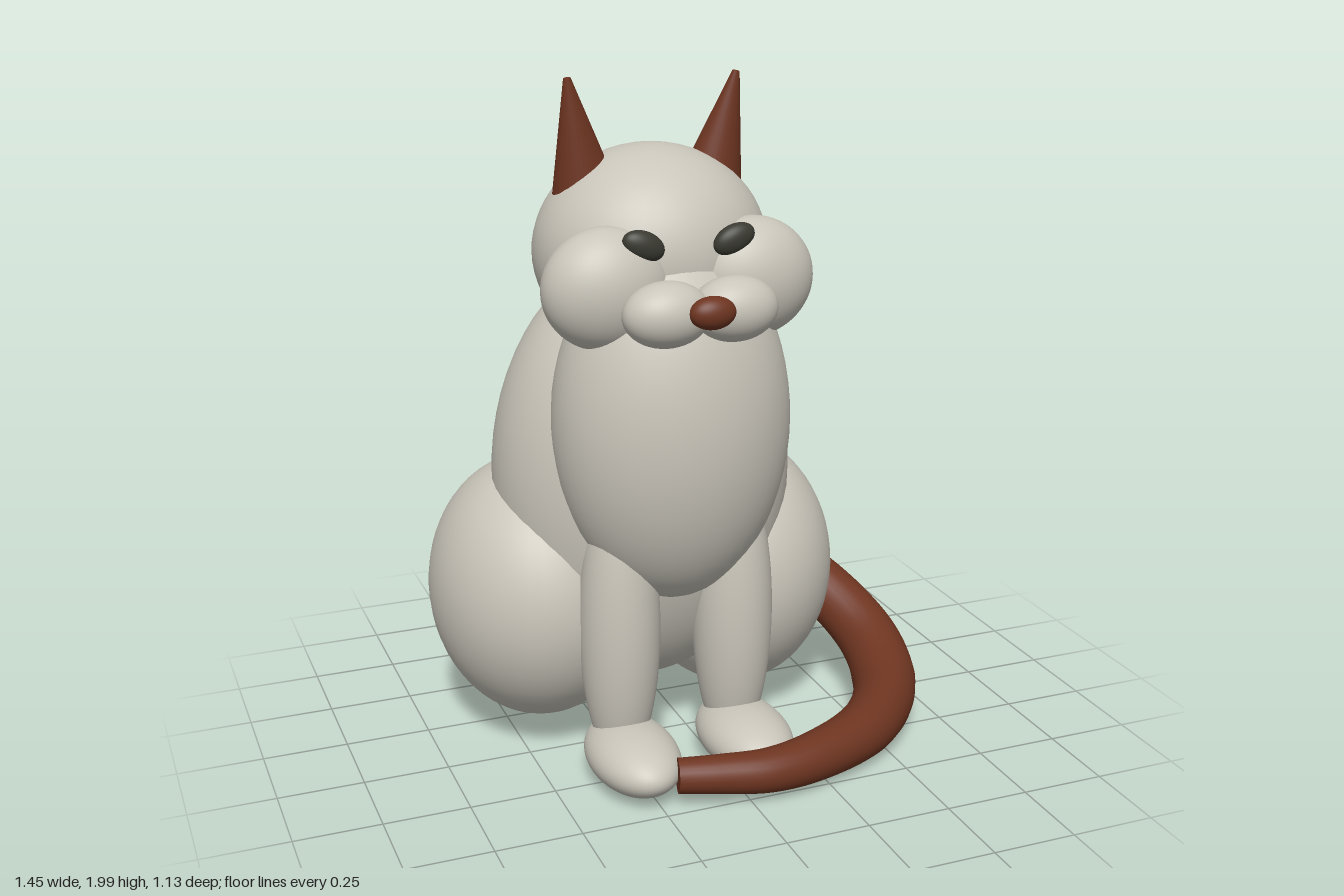
import * as THREE from 'three';

const MID = -0.1; // x of the cat's own centre line; the tail curls out to +x

export function createModel() {
  const cat = new THREE.Group();
  cat.name = 'sittingCat';
  const material = (name, color) => Object.assign(new THREE.MeshStandardMaterial({ color }), { name });
  const fur = material('paleFur', 0xc9c5ba);
  const brown = material('brownPoints', 0x6e3521);
  const dark = material('darkEyes', 0x3a3a32);

  // Ellipsoid; x is measured from the centre line
  function blob(name, mat, [x, y, z], radii, tilt = 0) {
    const mesh = new THREE.Mesh(new THREE.SphereGeometry(1, 48, 32), mat);
    mesh.name = name;
    mesh.position.set(MID + x, y, z);
    mesh.scale.set(...radii);
    mesh.rotation.z = tilt;
    cat.add(mesh);
    return mesh;
  }

  // Single parts
  blob('body', fur, [0, 0.83, -0.11], [0.45, 0.65, 0.37]);
  blob('chest', fur, [0, 1.05, 0.14], [0.345, 0.53, 0.29]);
  blob('head', fur, [0, 1.51, -0.022], [0.337, 0.3, 0.31]);
  blob('nose', brown, [0, 1.43, 0.445], [0.065, 0.045, 0.04]);

  // Mirrored parts
  for (const [side, s] of [['left', 1], ['right', -1]]) {
    blob(side + 'Haunch', fur, [s * 0.31, 0.47, -0.195], [0.32, 0.4, 0.375]);
    blob(side + 'FrontLeg', fur, [s * 0.175, 0.46, 0.18], [0.117, 0.44, 0.12]);
    blob(side + 'Paw', fur, [s * 0.175, 0.1, 0.28], [0.13, 0.09, 0.21]);
    blob(side + 'Cheek', fur, [s * 0.21, 1.46, 0.205], [0.182, 0.17, 0.13]);
    blob(side + 'Muzzle', fur, [s * 0.097, 1.415, 0.362], [0.123, 0.09, 0.088]);
    blob(side + 'Eye', dark, [s * 0.13, 1.585, 0.278], [0.062, 0.04, 0.03], s * 0.4);

    // Ear: blunt cone leaning outward from base to tip
    const base = new THREE.Vector3(MID + s * 0.182, 1.65, -0.04);
    const tip = new THREE.Vector3(MID + s * 0.247, 2.0, 0.008);
    const axis = tip.clone().sub(base);
    const ear = new THREE.Mesh(new THREE.CylinderGeometry(0.009, 0.088, axis.length(), 32), brown);
    ear.name = side + 'Ear';
    ear.position.copy(base).add(tip).multiplyScalar(0.5);
    ear.quaternion.setFromUnitVectors(new THREE.Vector3(0, 1, 0), axis.normalize());
    ear.scale.x = 1.15;
    cat.add(ear);
  }

  // Tail: tapered tube sweeping round the left haunch to the front
  const path = new THREE.CatmullRomCurve3([
    [0.4, 0.37, -0.31], [0.5, 0.345, -0.275], [0.582, 0.275, -0.17], [0.627, 0.19, 0], [0.58, 0.125, 0.2],
    [0.44, 0.1, 0.365], [0.22, 0.093, 0.471], [0.06, 0.093, 0.5], [-0.08, 0.097, 0.478], [-0.2, 0.1, 0.448],
  ].map((p) => new THREE.Vector3(...p)));
  const steps = 80, sides = 24;
  const radiusAt = (t) => (t < 0.4 ? 0.086 + 0.03 * t : 0.098 - 0.048 * (t - 0.4) / 0.6);
  const tube = new THREE.TubeGeometry(path, steps, 1, sides);
  const pos = tube.attributes.position;
  const v = new THREE.Vector3();
  for (let i = 0; i < pos.count; i++) {
    const t = Math.floor(i / (sides + 1)) / steps;
    const centre = path.getPointAt(t);
    v.fromBufferAttribute(pos, i).sub(centre).multiplyScalar(radiusAt(t)).add(centre);
    pos.setXYZ(i, v.x, v.y, v.z);
  }
  const tail = new THREE.Mesh(tube, brown);
  tail.name = 'tail';
  cat.add(tail);

  // Flat end of the tail
  const tailTip = new THREE.Mesh(new THREE.CircleGeometry(radiusAt(1), sides), brown);
  tailTip.name = 'tailTip';
  tailTip.position.copy(path.getPointAt(1));
  tailTip.quaternion.setFromUnitVectors(new THREE.Vector3(0, 0, 1), path.getTangentAt(1));
  cat.add(tailTip);

  return cat;
}
